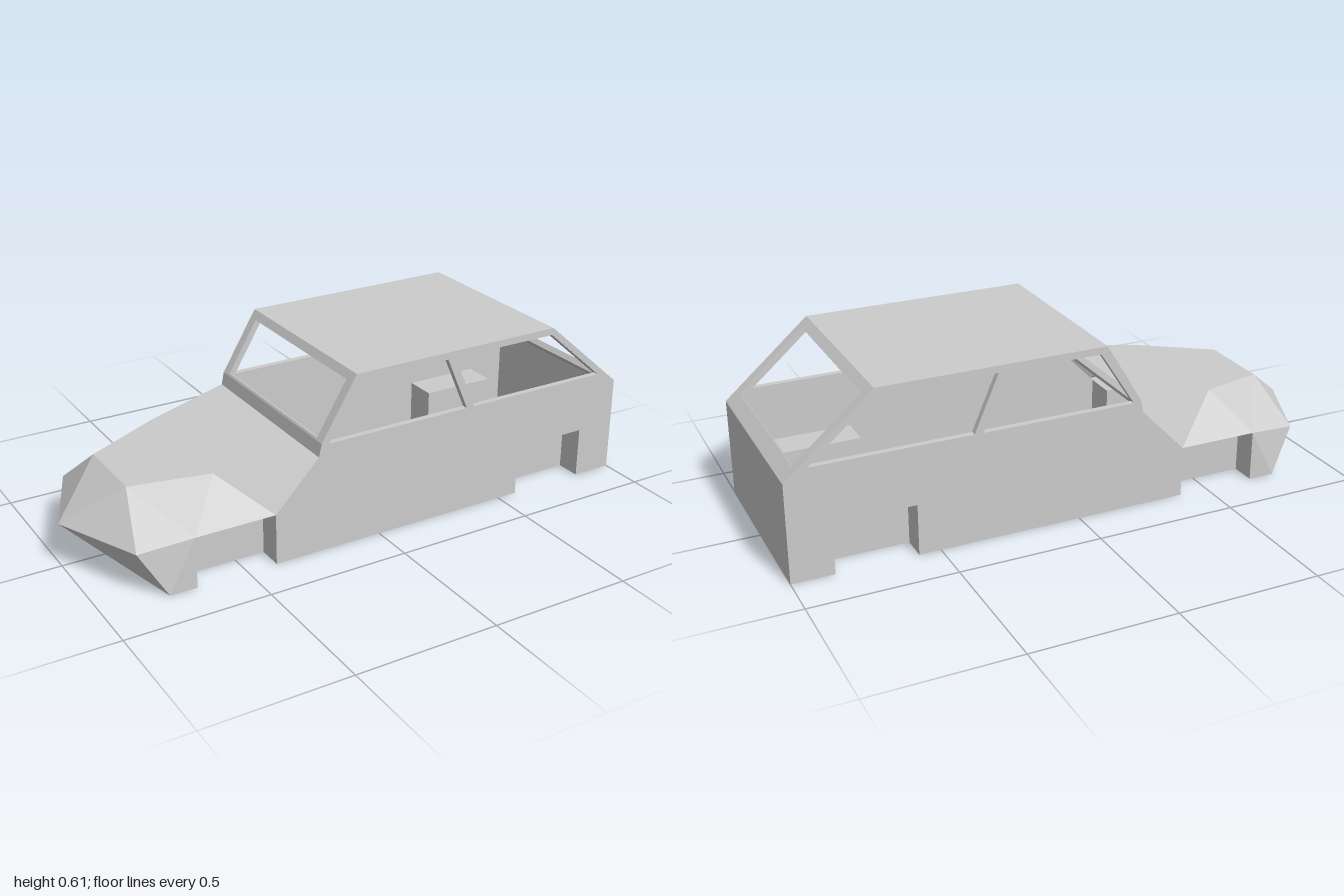
import * as THREE from 'three';

const W = 0.345;      // half width
const T = 0.022;      // panel thickness
const ARCH = 0.18;    // wheel well height
const WELL = 0.255;   // z of the inside of a wheel well
const WELLS = [[-0.68, -0.395], [0.575, 0.855]];

const mat = new THREE.MeshStandardMaterial({ color: 0xcccccc, flatShading: true, side: THREE.DoubleSide });

function mesh(name, geometry) {
  const m = new THREE.Mesh(geometry, mat);
  m.name = name;
  return m;
}

const shapeOf = (pts) => new THREE.Shape(pts.map(([x, y]) => new THREE.Vector2(x, y)));

// Thin sheet made of convex polygons
function sheet(name, polygons) {
  const pos = [];
  for (const p of polygons)
    for (let i = 1; i < p.length - 1; i++) pos.push(...p[0], ...p[i], ...p[i + 1]);
  const g = new THREE.BufferGeometry();
  g.setAttribute('position', new THREE.Float32BufferAttribute(pos, 3));
  g.computeVertexNormals();
  return mesh(name, g);
}

// Sloping window frame from (x0, y0) up to (x1, y1), open between heights yLow and yHigh
function windowFrame(name, [x0, y0], [x1, y1], yLow, yHigh, halfOpen, inward) {
  const len = Math.hypot(x1 - x0, y1 - y0);
  const along = (y) => ((y - y0) / (y1 - y0)) * len;
  const rect = (w, a, b) => [[-w, a], [w, a], [w, b], [-w, b]];
  const shape = shapeOf(rect(W - 0.001, 0, len));
  shape.holes.push(shapeOf(rect(halfOpen, along(yLow), along(yHigh))));
  const up = new THREE.Vector3(x1 - x0, y1 - y0, 0).normalize();
  const normal = new THREE.Vector3(up.y * inward, -up.x * inward, 0);
  const side = new THREE.Vector3().crossVectors(up, normal);
  const g = new THREE.ExtrudeGeometry(shape, { depth: T, bevelEnabled: false });
  g.applyMatrix4(new THREE.Matrix4().makeBasis(side, up, normal).setPosition(x0, y0, 0));
  return mesh(name, g);
}

function createSide() {
  const side = new THREE.Group();

  // Flat body side with window openings and rear wheel cut-out
  const [r0, r1] = WELLS[1];
  const panel = shapeOf([[-0.395, 0], [r0, 0], [r0, ARCH], [r1, ARCH], [r1, 0], [1, 0], [1, 0.345],
    [0.7, 0.605], [-0.095, 0.605], [-0.225, 0.39], [-0.235, 0.345], [-0.395, ARCH]]);
  panel.holes.push(shapeOf([[-0.198, 0.385], [0.345, 0.385], [0.26, 0.58], [-0.072, 0.58]]));
  panel.holes.push(shapeOf([[0.375, 0.385], [0.92, 0.385], [0.7, 0.58], [0.29, 0.58]]));
  const g = new THREE.ExtrudeGeometry(panel, { depth: T, bevelEnabled: false });
  side.add(mesh('sidePanel', g.translate(0, 0, W - T)));

  // Faceted front fender
  const tip = [-1, 0.155, 0], corner = [-0.865, 0.155, 0.31], hoodFront = [-0.815, 0.3, 0.135];
  const hoodMid = [-0.56, 0.325, 0.235], hoodBack = [-0.235, 0.345, W];
  const archBack = [-0.395, ARCH, W], archFront = [-0.68, ARCH, W];
  const bottom = [-0.775, 0, W], archFoot = [-0.68, 0, W];
  side.add(sheet('fender', [
    [tip, corner, hoodFront],
    [corner, archFront, hoodFront],
    [archFront, hoodMid, hoodFront],
    [archFront, archBack, hoodMid],
    [archBack, hoodBack, hoodMid],
    [corner, bottom, archFront],
    [bottom, archFoot, archFront],
    [tip, bottom, corner],
  ]));

  // Wheel wells: inner lining block, ceiling and end walls
  for (const [a, b] of WELLS) {
    const well = new THREE.Group();
    well.name = 'wheelWell';
    const lining = mesh('wellLining', new THREE.BoxGeometry(b - a, ARCH, 0.05));
    lining.position.set((a + b) / 2, ARCH / 2, WELL - 0.025);
    const end = (x) => [[x, 0, WELL], [x, 0, W], [x, ARCH, W], [x, ARCH, WELL]];
    const ceiling = [[a, ARCH, WELL], [a, ARCH, W], [b, ARCH, W], [b, ARCH, WELL]];
    well.add(lining, sheet('wellWalls', [end(a), end(b), ceiling]));
    side.add(well);
  }
  return side;
}

export function createModel() {
  const car = new THREE.Group();
  car.name = 'car';

  const left = createSide();
  left.name = 'nearSide';
  const right = createSide();
  right.name = 'farSide';
  right.scale.z = -1;
  car.add(left, right);

  // Hood, nose and the upright strip below the windscreen
  const strip = (x0, y0, w0, x1, y1, w1) => [[x0, y0, w0], [x1, y1, w1], [x1, y1, -w1], [x0, y0, -w0]];
  car.add(sheet('hood', [
    strip(-0.815, 0.3, 0.135, -0.56, 0.325, 0.235),
    strip(-0.56, 0.325, 0.235, -0.235, 0.345, W),
  ]));
  car.add(sheet('nose', [
    [[-1, 0.155, 0], [-0.815, 0.3, 0.135], [-0.815, 0.3, -0.135]],
    [[-1, 0.155, 0], [-0.775, 0, -W], [-0.775, 0, W]],
  ]));
  car.add(sheet('cowl', [strip(-0.235, 0.345, W, -0.225, 0.39, W)]));

  // Rear wall, window frames and roof
  car.add(sheet('rearWall', [strip(1, 0, W, 1, 0.345, W)]));
  car.add(windowFrame('rearWindowFrame', [1, 0.345], [0.7, 0.605], 0.38, 0.58, 0.308, -1));
  car.add(windowFrame('windscreenFrame', [-0.225, 0.39], [-0.095, 0.605], 0.397, 0.578, 0.308, 1));
  const roof = mesh('roof', new THREE.BoxGeometry(0.795, T, 2 * W - 0.002));
  roof.position.set(0.3025, 0.605 - T / 2, 0);
  car.add(roof);

  // Floor notched around the wheel wells
  const edge = [[-0.775, W]];
  for (const [a, b] of WELLS) edge.push([a, W], [a, WELL], [b, WELL], [b, W]);
  edge.push([1, W]);
  const outline = [...edge, ...edge.map(([x, z]) => [x, -z]).reverse()];
  car.add(mesh('floor', new THREE.ShapeGeometry(shapeOf(outline)).rotateX(Math.PI / 2)));

  return car;
}
